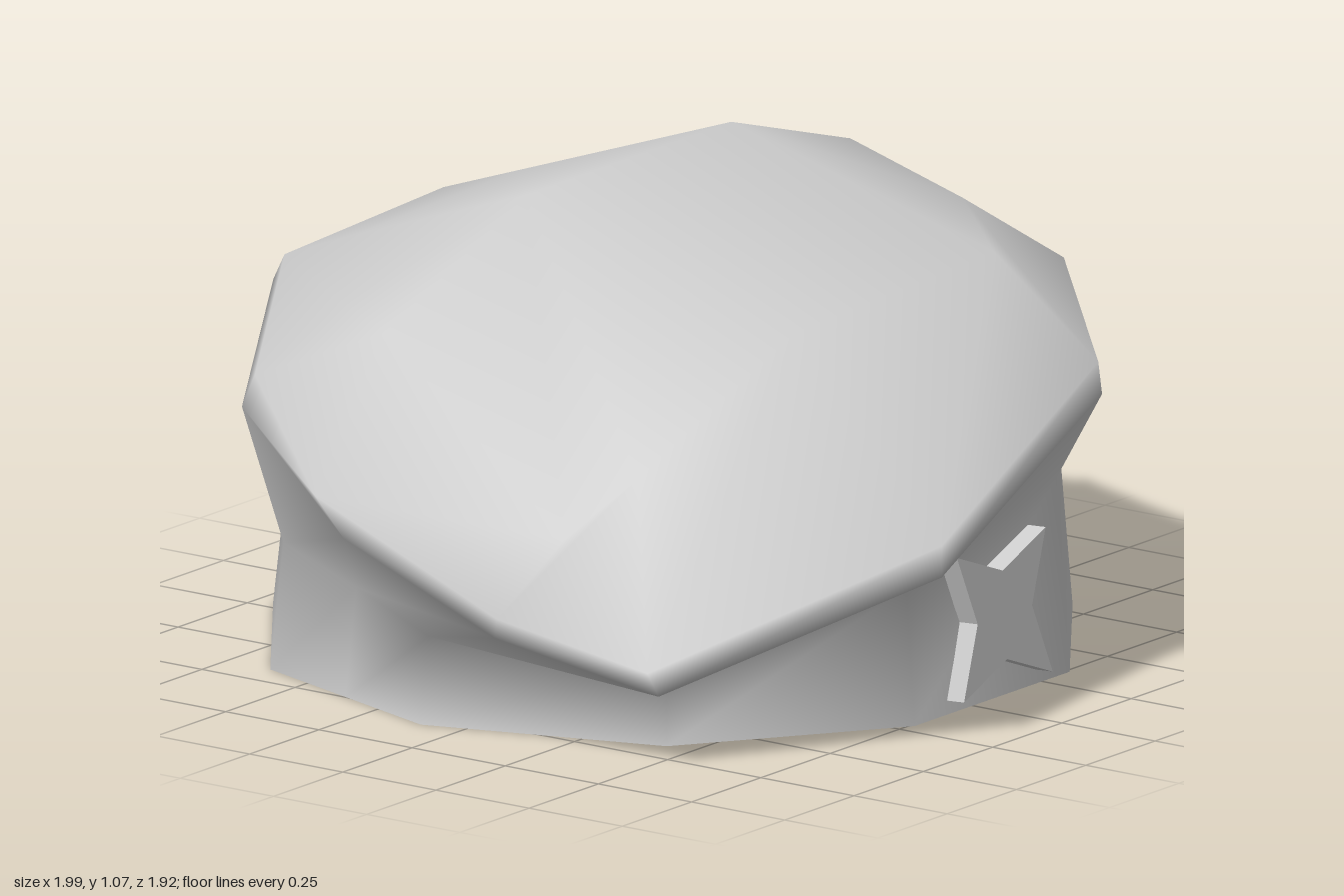
import * as THREE from 'three';
import { mergeVertices } from 'three/addons/utils/BufferGeometryUtils.js';

const CX = 0.07, CZ = -0.1;

// Skin closed rings of points, bottom to top, with smooth normals
function loft(rings, name, material) {
  const n = rings[0].length, index = [];
  for (let i = 0; i < rings.length - 1; i++) {
    for (let j = 0; j < n; j++) {
      const a = i * n + j, b = i * n + (j + 1) % n;
      index.push(a, a + n, b, b, a + n, b + n);
    }
  }
  let geo = new THREE.BufferGeometry();
  geo.setAttribute('position', new THREE.Float32BufferAttribute(rings.flat(2), 3));
  geo.setIndex(index);
  geo = mergeVertices(geo, 1e-4);
  geo.computeVertexNormals();
  const mesh = new THREE.Mesh(geo, material);
  mesh.name = name;
  return mesh;
}

// Ten-sided band ring, with one extra point halfway along the side after corner 5
function bandRing(r, heights) {
  const corner = k => [CX + r * Math.cos(k * Math.PI / 5), CZ + r * Math.sin(k * Math.PI / 5)];
  const pts = [];
  for (let k = 0; k < 10; k++) {
    const p = corner(k), q = corner(k + 1);
    pts.push(p);
    if (k === 5) pts.push([(p[0] + q[0]) / 2, (p[1] + q[1]) / 2]);
  }
  return pts.map(([x, z], j) => [x, heights ? heights[j] : 0, z]);
}

const inset = (ring, s, drop) =>
  ring.map(([x, y, z]) => [CX + (x - CX) * s, y - drop, CZ + (z - CZ) * s]);

export function createModel() {
  const group = new THREE.Group();
  group.name = 'beret';
  const material = new THREE.MeshStandardMaterial({ color: 0xcccccc });

  // Band
  const base = bandRing(0.905);
  const fold = bandRing(0.875, [0.27, 0.36, 0.43, 0.3, 0.18, 0.19, 0.24, 0.28, 0.27, 0.27, 0.27]);

  // Lower and upper edge of the overhang, drooping to one side
  const lowerEdge = [
    [0.99, 0.73, -0.1], [0.82, 0.7, 0.42], [0.36, 0.63, 0.84], [-0.38, 0.4, 0.96],
    [-0.85, 0.17, 0.55], [-0.97, 0.27, 0.2], [-0.95, 0.42, -0.22], [-0.74, 0.6, -0.65],
    [-0.21, 0.72, -0.96], [0.35, 0.74, -0.96], [0.8, 0.74, -0.63],
  ];
  const upperEdge = [
    [0.97, 0.8, -0.1], [0.8, 0.77, 0.41], [0.36, 0.7, 0.83], [-0.38, 0.47, 0.96],
    [-0.89, 0.23, 0.55], [-0.99, 0.32, 0.22], [-1, 0.52, -0.26], [-0.72, 0.67, -0.63],
    [-0.21, 0.78, -0.93], [0.35, 0.81, -0.92], [0.79, 0.81, -0.61],
  ];

  // Crown, closing on a short ridge
  const crown = [
    [0.81, 0.94, -0.17], [0.65, 0.91, 0.25], [0.36, 0.9, 0.55], [-0.32, 0.86, 0.52],
    [-0.71, 0.6, 0.39], [-0.88, 0.49, 0.32], [-0.75, 0.83, -0.26], [-0.55, 0.81, -0.52],
    [-0.2, 0.85, -0.75], [0.35, 0.88, -0.72], [0.66, 0.89, -0.5],
  ];
  const ridge = crown.map((p, j) => (j >= 3 && j <= 8 ? [-0.25, 1.03, -0.25] : [0.38, 1.07, -0.17]));

  const outer = [base, fold, lowerEdge, upperEdge, crown, ridge];
  const inner = outer.map((ring, i) =>
    i === 5 ? ring.map(([x, y, z]) => [x, y - 0.07, z]) : inset(ring, 0.93, i === 4 ? 0.06 : 0));

  group.add(loft(outer, 'shell', material));
  group.add(loft([inner[0], base], 'bottomRim', material));
  group.add(loft(inner.reverse(), 'lining', material));

  // Four-pointed badge on the front of the band
  const star = new THREE.Shape();
  for (let i = 0; i < 8; i++) {
    const r = i % 2 ? 0.098 : 0.16 * Math.SQRT2, a = Math.PI / 4 * (i + 1);
    star[i ? 'lineTo' : 'moveTo'](r * Math.cos(a), r * Math.sin(a));
  }
  const badge = new THREE.Mesh(
    new THREE.ExtrudeGeometry(star, { depth: 0.05, bevelEnabled: false }), material);
  badge.name = 'badge';
  badge.position.set(CX, 0.19, 0.745);
  badge.rotation.x = -0.06;
  group.add(badge);

  return group;
}
